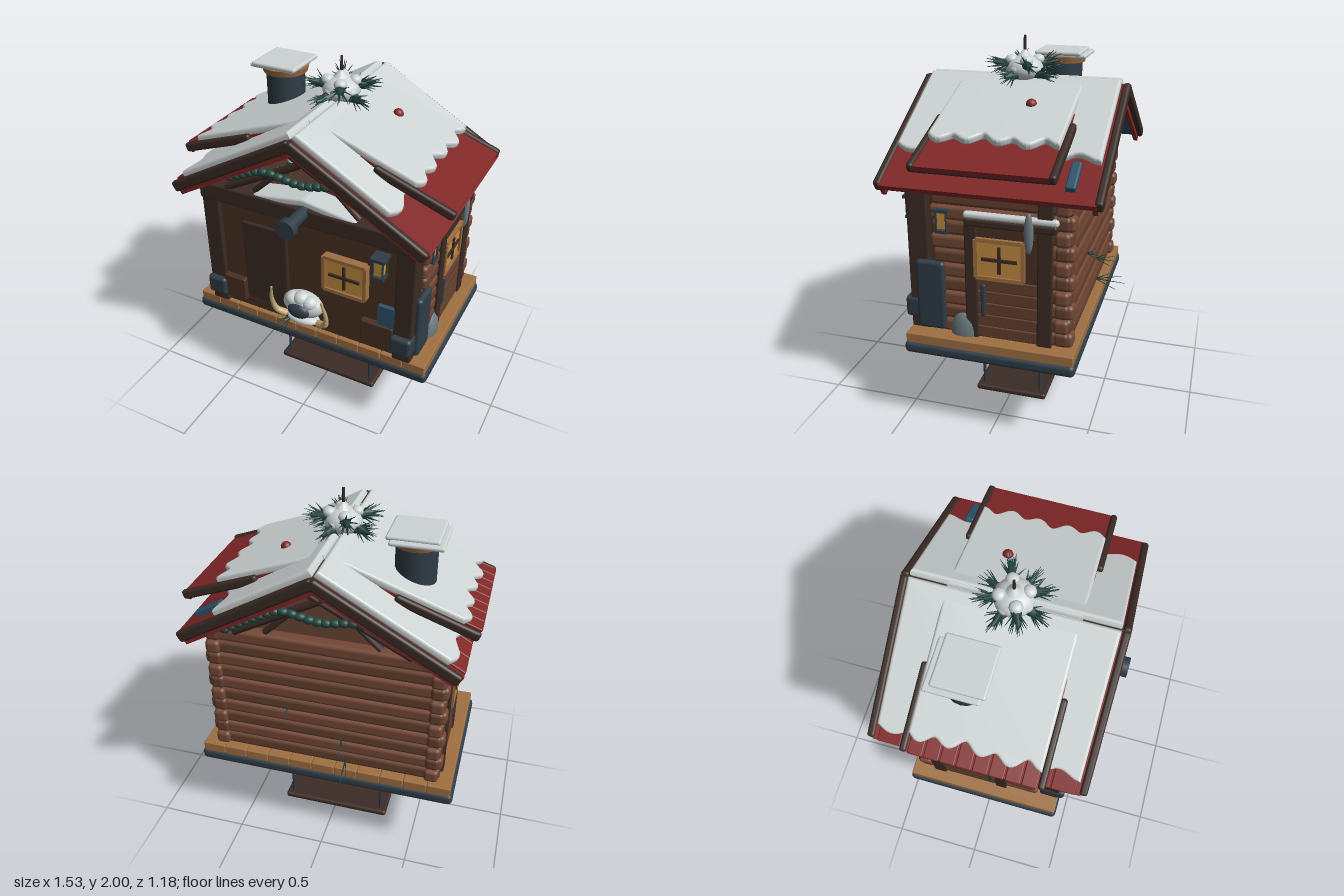
import * as THREE from 'three';
import { RoundedBoxGeometry } from 'three/addons/geometries/RoundedBoxGeometry.js';

const C = { log: 0x744836, logDark: 0x65402f, wall: 0x4a3024, post: 0x3b2b25, slate: 0x2f3d47, plank: 0xa07042,
  red: 0x802727, snow: 0xcdd3d3, teal: 0x24463f, blue: 0x2f536b, glow: 0xc58d3f, tan: 0xc2a878, rock: 0x6c7a80 };
const mats = {};
const mat = c => mats[c] ??= new THREE.MeshStandardMaterial({ color: c });

function add(parent, name, geo, color, x = 0, y = 0, z = 0) {
  const m = new THREE.Mesh(geo, mat(color));
  m.name = name;
  m.position.set(x, y, z);
  parent.add(m);
  return m;
}
// Box given by its extents; r rounds the edges
function box(p, name, c, x0, x1, y0, y1, z0, z1, r = 0) {
  const s = [x1 - x0, y1 - y0, z1 - z0];
  const g = r ? new RoundedBoxGeometry(...s, 2, r) : new THREE.BoxGeometry(...s);
  return add(p, name, g, c, (x0 + x1) / 2, (y0 + y1) / 2, (z0 + z1) / 2);
}
// Round bar between two points
function rod(p, name, c, a, b, r0, r1 = r0, sides = 10) {
  const A = new THREE.Vector3(...a), d = new THREE.Vector3(...b).sub(A);
  const m = add(p, name, new THREE.CylinderGeometry(r1, r0, d.length(), sides), c);
  m.position.copy(A).addScaledVector(d, 0.5);
  m.quaternion.setFromUnitVectors(new THREE.Vector3(0, 1, 0), d.normalize());
  return m;
}
function group(parent, name, x = 0, y = 0, z = 0) {
  const g = new THREE.Group();
  g.name = name;
  g.position.set(x, y, z);
  parent.add(g);
  return g;
}
// Ball squashed to three radii
function ball(p, name, c, x, y, z, rx, ry, rz) {
  const m = add(p, name, new THREE.SphereGeometry(1, 16, 12), c, x, y, z);
  m.scale.set(rx, ry, rz);
  return m;
}
// Snow sheet lying on a slope, with a wavy lower edge
function snowSheet(p, len, half, y) {
  const s = new THREE.Shape();
  s.moveTo(0, -half);
  for (let i = 0; i <= 48; i++) s.lineTo(len + 0.022 * Math.sin(i * 0.55) + 0.01 * Math.sin(i * 0.23), half * (i / 24 - 1));
  s.lineTo(0, half);
  const g = new THREE.ExtrudeGeometry(s, { depth: 0.012, bevelThickness: 0.016, bevelSize: 0.014, bevelSegments: 4 });
  add(p, 'roofSnow', g.rotateX(-Math.PI / 2), C.snow, 0, y, 0);
}
// Needle tuft around a direction
function tuft(p, pos, dir, len, n, r = 0.008) {
  for (let i = 0; i < n; i++) {
    const k = i * 2.4, s = 0.65 * Math.sqrt(i / n);
    const d = new THREE.Vector3(...dir).normalize();
    d.add(new THREE.Vector3(Math.cos(k), Math.sin(k), Math.cos(k * 1.7)).multiplyScalar(s)).normalize();
    const a = new THREE.Vector3(...pos), b = a.clone().addScaledVector(d, len * (1 - 0.4 * i / n));
    rod(p, 'needle', C.teal, a.toArray(), b.toArray(), r, 0.001, 4);
  }
}
function pineBall(parent, x, y, z, s) {
  const g = group(parent, 'pineOrnament', x, y, z);
  ball(g, 'snowCore', C.snow, 0, 0, 0, 0.1, 0.07, 0.1);
  const top = add(g, 'snowTop', new THREE.ConeGeometry(0.095, 0.1, 12), C.snow, 0, 0.055, 0);
  top.rotation.y = 0.2;
  for (let i = 0; i < 8; i++) {
    const a = i * Math.PI / 4 + 0.4, c = Math.cos(a), t = Math.sin(a), h = i % 2 ? 0.025 : -0.02;
    rod(g, 'pineCone', C.teal, [c * 0.07, h, t * 0.07], [c * 0.165, h * 1.4, t * 0.165], 0.032, 0.008, 7);
    tuft(g, [c * 0.08, h, t * 0.08], [c, h * 4, t], 0.13, 18, 0.007);
    ball(g, 'snowTuft', C.snow, c * 0.07, h + 0.02, t * 0.07, 0.034, 0.028, 0.034);
  }
  g.scale.setScalar(s);
  return g;
}
function windowPane(parent, x, y, z, w, h, ry) {
  const g = group(parent, 'window', x, y, z);
  g.rotation.y = ry;
  box(g, 'glass', C.glow, -w / 2, w / 2, -h / 2, h / 2, -0.03, 0.012);
  for (const s of [-1, 1]) {
    box(g, 'frameSide', C.plank, s * w / 2 - 0.01, s * w / 2 + 0.01, -h / 2, h / 2, -0.02, 0.024);
    box(g, 'frameRail', C.plank, -w / 2, w / 2, s * h / 2 - 0.01, s * h / 2 + 0.01, -0.02, 0.024);
  }
  box(g, 'mullion', C.post, -0.008, 0.008, -h / 2 + 0.03, h / 2 - 0.03, 0, 0.022);
  box(g, 'mullion', C.post, -w / 2 + 0.03, w / 2 - 0.03, -0.008, 0.008, 0, 0.022);
}
function lantern(parent, x, y, z) {
  const g = group(parent, 'lantern', x, y, z);
  box(g, 'light', C.glow, -0.022, 0.022, -0.045, 0.045, -0.022, 0.022);
  box(g, 'base', C.slate, -0.033, 0.033, -0.065, -0.05, -0.033, 0.033);
  box(g, 'cap', C.slate, -0.04, 0.04, 0.045, 0.062, -0.04, 0.04);
  for (const a of [-1, 1]) for (const b of [-1, 1]) rod(g, 'bar', C.slate, [a * 0.026, -0.05, b * 0.026], [a * 0.026, 0.05, b * 0.026], 0.005);
}

function buildBase(root) {
  const g = group(root, 'platform');
  box(g, 'tray', C.slate, -0.725, 0.72, 0.455, 0.52, -0.455, 0.445, 0.025);
  for (let i = 0; i < 11; i++) box(g, 'deckPlank', C.plank, -0.71 + i * 0.129, -0.583 + i * 0.129, 0.51, 0.568, -0.445, 0.435, 0.006);
  // Stones under the tray
  [[-0.41, 0.05, 0.165, 0.09, 0.15], [-0.14, 0.14, 0.16, 0.07, 0.13], [0.18, -0.06, 0.155, 0.145, 0.14], [0.43, 0.05, 0.165, 0.11, 0.14], [0.1, 0.15, 0.13, 0.1, 0.12]].forEach(([x, z, rx, ry, rz], n) => {
    const geo = new THREE.SphereGeometry(1, 14, 10), p = geo.attributes.position;
    for (let i = 0; i < p.count; i++) {
      const k = 1 + 0.12 * Math.sin(p.getX(i) * 4 + n * 2) * Math.cos(p.getZ(i) * 5 + n);
      p.setXYZ(i, p.getX(i) * k, p.getY(i) * k, p.getZ(i) * k);
    }
    geo.computeVertexNormals();
    add(g, 'stone', geo, C.rock, x, 0.455, z).scale.set(rx, ry, rz);
  });
  box(g, 'peg', C.log, -0.024, 0.024, 0.34, 0.46, -0.024, 0.024);
  // Hanging swing board
  box(g, 'swingBoard', C.post, -0.32, 0.315, 0.005, 0.04, -0.21, 0.2, 0.015);
  for (const x of [-0.28, 0.275]) for (const z of [-0.17, 0.16]) rod(g, 'swingRod', C.slate, [x, 0.03, z], [x, 0.47, z], 0.009);
}

function buildWalls(root) {
  const g = group(root, 'cabin');
  box(g, 'core', C.wall, -0.575, 0.575, 0.56, 1.33, -0.34, 0.41);
  box(g, 'frontBeam', C.post, -0.63, 0.62, 1.25, 1.35, 0.33, 0.44, 0.012);
  for (let i = 0; i < 10; i++) {
    const y = 0.57 + i * 0.077, e = i % 2 ? 0.01 : 0;
    box(g, 'backLog', i % 2 ? C.log : C.logDark, -0.64 - e, 0.64 + e, y, y + 0.076, -0.405, -0.325, 0.022);
    for (const s of [-1, 1]) box(g, 'sideLog', i % 2 ? C.logDark : C.log, s * 0.595 - 0.04, s * 0.595 + 0.04, y, y + 0.076, -0.425 + e, 0.31 - e, 0.022);
  }
  for (const s of [-1, 1]) {
    box(g, 'cornerPost', C.post, s * 0.57 - 0.052, s * 0.57 + 0.052, 0.56, 1.32, 0.325, 0.435, 0.01);
    box(g, 'postFoot', C.slate, s * 0.57 - 0.06, s * 0.57 + 0.06, 0.62, 0.735, 0.32, 0.465, 0.02);
    // Side bay with window
    const b = group(g, 'sideBay');
    if (s < 0) b.rotation.y = Math.PI;
    const span = (name, c, x0, x1, y0, y1, z0, z1, r) => box(b, name, c, x0, x1, y0, y1, Math.min(s * z0, s * z1), Math.max(s * z0, s * z1), r);
    span('bayPostFront', C.post, 0.57, 0.648, 0.56, 1.2, 0.06, 0.125, 0.008);
    span('bayPostBack', C.post, 0.57, 0.65, 0.56, 1.34, -0.32, -0.245, 0.008);
    for (let i = 0; i < 5; i++) span('bayPlank', C.logDark, 0.58, 0.64, 0.57 + i * 0.066, 0.634 + i * 0.066, -0.25, 0.07, 0.006);
    span('bayBack', C.wall, 0.58, 0.637, 0.9, 1.2, -0.25, 0.07);
    span('hinge', C.slate, 0.62, 0.65, 0.69, 0.87, 0.02, 0.045, 0.008);
    windowPane(b, 0.632, 1.01, s * -0.055, 0.24, 0.2, Math.PI / 2);
  }
  // Snowy canopy over the left bay
  box(g, 'canopy', C.post, 0.56, 0.655, 1.175, 1.215, -0.34, 0.12, 0.01);
  box(g, 'canopySnow', C.snow, 0.56, 0.66, 1.215, 1.25, -0.35, 0.125, 0.016);
  ball(g, 'hangingOval', C.rock, 0.655, 1.17, -0.205, 0.018, 0.105, 0.024);
  // Front door, window and clutter
  box(g, 'door', C.post, -0.385, -0.11, 0.65, 1.16, 0.39, 0.425, 0.012);
  windowPane(g, 0.24, 1.005, 0.43, 0.235, 0.205, 0);
  box(g, 'crate', C.wall, 0.335, 0.52, 0.62, 0.765, 0.38, 0.445, 0.008);
  box(g, 'blueCloth', C.blue, 0.43, 0.525, 0.765, 0.89, 0.4, 0.435);
  box(g, 'logBox', C.wall, -0.525, -0.385, 0.62, 0.765, 0.38, 0.445, 0.008);
  lantern(g, 0.45, 1.175, 0.475);
  lantern(g, 0.62, 1.185, 0.24);
  box(g, 'sled', C.slate, 0.61, 0.65, 0.58, 0.96, 0.235, 0.39, 0.019);
  ball(g, 'sideStone', C.rock, 0.62, 0.58, 0.14, 0.045, 0.12, 0.075);
  rod(g, 'beamEnd', C.slate, [0, 1.325, 0.3], [0, 1.325, 0.58], 0.035, 0.035, 16);
  rod(g, 'beamCap', C.slate, [0, 1.325, 0.565], [0, 1.325, 0.61], 0.053, 0.053, 20);
  // Horned head
  const h = group(g, 'hornedHead');
  ball(h, 'ruff', C.snow, 0, 0.665, 0.46, 0.1, 0.03, 0.055);
  ball(h, 'head', C.snow, 0, 0.755, 0.455, 0.12, 0.08, 0.065);
  ball(h, 'snout', C.slate, 0, 0.745, 0.51, 0.065, 0.045, 0.03);
  for (const x of [-0.05, 0, 0.05]) ball(h, 'brow', C.snow, x, 0.805 - Math.abs(x) * 0.3, 0.47, 0.045, 0.04, 0.045);
  for (const s of [-1, 1]) {
    const c = new THREE.CatmullRomCurve3([[0.1, 0.66], [0.15, 0.69], [0.165, 0.77], [0.15, 0.87]].map(([x, y], i) => new THREE.Vector3(s * x, y, 0.47 + i * 0.02)));
    const pts = c.getPoints(10);
    pts.slice(1).forEach((p, i) => rod(h, 'horn', C.tan, pts[i].toArray(), p.toArray(), 0.023 - i * 0.0017, 0.0213 - i * 0.0017));
  }
  // Thin sprigs on the deck and back wall
  tuft(g, [-0.1, 0.6, 0.42], [-0.1, -0.1, 1], 0.15, 5, 0.004);
  for (const [x, y] of [[-0.12, 0.6], [-0.1, 0.74], [0.2, 0.9]]) tuft(g, [x, y, -0.4], [-0.1, -0.1, -1], 0.17 - (y - 0.6) * 0.35, 4, 0.004);
}

function buildRoof(root) {
  for (const s of [1, -1]) {
    const side = group(root, s > 0 ? 'roofLeft' : 'roofRight');
    side.rotation.y = s > 0 ? 0 : Math.PI;
    // Steeper lower roof
    const lo = group(side, 'lowerRoof', 0, 1.74, 0);
    lo.rotation.z = -0.52;
    box(lo, 'roofBoards', C.red, 0, 0.81, 0, 0.03, -0.53, 0.53);
    box(lo, 'lining', C.blue, 0.02, 0.79, -0.012, 0, -0.5, 0.5);
    snowSheet(lo, s > 0 ? 0.54 : 0.71, 0.5, 0.038);
    box(lo, 'blueBlock', C.blue, 0.57, 0.74, 0.02, 0.06, s * -0.4 - 0.025, s * -0.4 + 0.025, 0.01);
    for (const e of [-1, 1]) {
      box(lo, 'bargeBoard', C.post, -0.015, 0.805, -0.02, 0.04, e * 0.54 - 0.02, e * 0.54 + 0.02, 0.015);
      box(lo, 'redTrim', C.red, 0, 0.8, -0.045, 0, e * 0.52 - 0.012, e * 0.52 + 0.012);
      box(lo, 'innerRafter', C.post, 0, 0.72, -0.06, -0.012, e * 0.32 - 0.02, e * 0.32 + 0.02);
      rod(side, 'strut', C.post, [-0.1, 1.65, e * 0.42], [0.46, 1.35, e * 0.42], 0.02);
      rod(side, 'brace', C.post, [0.3, 1.36, e * 0.4], [0.12, 1.53, e * 0.4], 0.016);
    }
    // Shallower upper roof, emerging from the snow near the ridge
    const up = group(side, 'upperRoof', 0, 1.732, 0);
    up.rotation.z = -0.345;
    box(up, 'upperBoards', C.red, 0.03, 0.795, 0, 0.026, -0.33, 0.33);
    snowSheet(up, s > 0 ? 0.56 : 0.69, 0.315, 0.036);
    rod(up, 'eaveBar', C.post, [0.775, -0.008, -0.34], [0.775, -0.008, 0.34], 0.013);
    for (const e of [-1, 1]) box(up, 'upperBarge', C.post, 0.36, 0.8, -0.012, 0.038, e * 0.34 - 0.018, e * 0.34 + 0.018, 0.015);
    // Shingle course along one eave
    if (s < 0) for (let i = 0; i < 8; i++) {
      box(up, 'shingle', C.red, 0.66, 0.8, 0.024, 0.04, -0.32 + i * 0.08, -0.245 + i * 0.08, 0.007);
      box(lo, 'shingle', C.red, 0.68, 0.81, 0.028, 0.042, -0.5 + i * 0.126, -0.38 + i * 0.126, 0.007);
    }
    // Low snow bank on the front beam
    const bank = group(side, 'beamSnow', 0, 1.38, s * 0.36);
    bank.rotation.z = -0.16;
    box(bank, 'snowBank', C.snow, -0.01, 0.3, -0.02, 0.022, -0.07, 0.07, 0.014);
  }
  rod(root, 'ridgeBeam', C.post, [0, 1.75, -0.56], [0, 1.75, 0.56], 0.022);
  ball(root, 'redBauble', C.red, 0.27, 1.7, -0.11, 0.028, 0.028, 0.028);
  // Beaded garlands in both gables
  for (const z of [-0.44, 0.44]) {
    const c = new THREE.CatmullRomCurve3([[-0.42, 1.43], [-0.22, 1.51], [0, 1.49], [0.2, 1.52], [0.36, 1.45], [0.5, 1.37]].map(([x, y]) => new THREE.Vector3(x, y, z)));
    c.getSpacedPoints(22).forEach(p => ball(root, 'garlandBead', C.teal, p.x, p.y, p.z, 0.032, 0.022, 0.024));
  }
  // Chimney
  const ch = group(root, 'chimney', -0.4, 0, -0.12);
  rod(ch, 'flue', C.slate, [0, 1.36, 0], [0, 1.83, 0], 0.105, 0.105, 20);
  rod(ch, 'collar', C.plank, [0, 1.815, 0], [0, 1.85, 0], 0.12, 0.13, 20);
  box(ch, 'chimneySnowLower', C.snow, -0.15, 0.115, 1.845, 1.868, -0.148, 0.12, 0.011);
  box(ch, 'chimneySnowUpper', C.snow, -0.125, 0.135, 1.86, 1.885, -0.12, 0.14, 0.012);
  // Pine ornaments
  const top = pineBall(root, 0, 1.83, 0, 1);
  rod(top, 'stem', C.post, [0, 0.08, 0], [0, 0.17, 0], 0.008, 0.007);
  pineBall(root, -0.12, 1.5, 0.2, 0.85);
}

export function createModel() {
  const root = new THREE.Group();
  root.name = 'snowyCabin';
  buildBase(root);
  buildWalls(root);
  buildRoof(root);
  return root;
}
